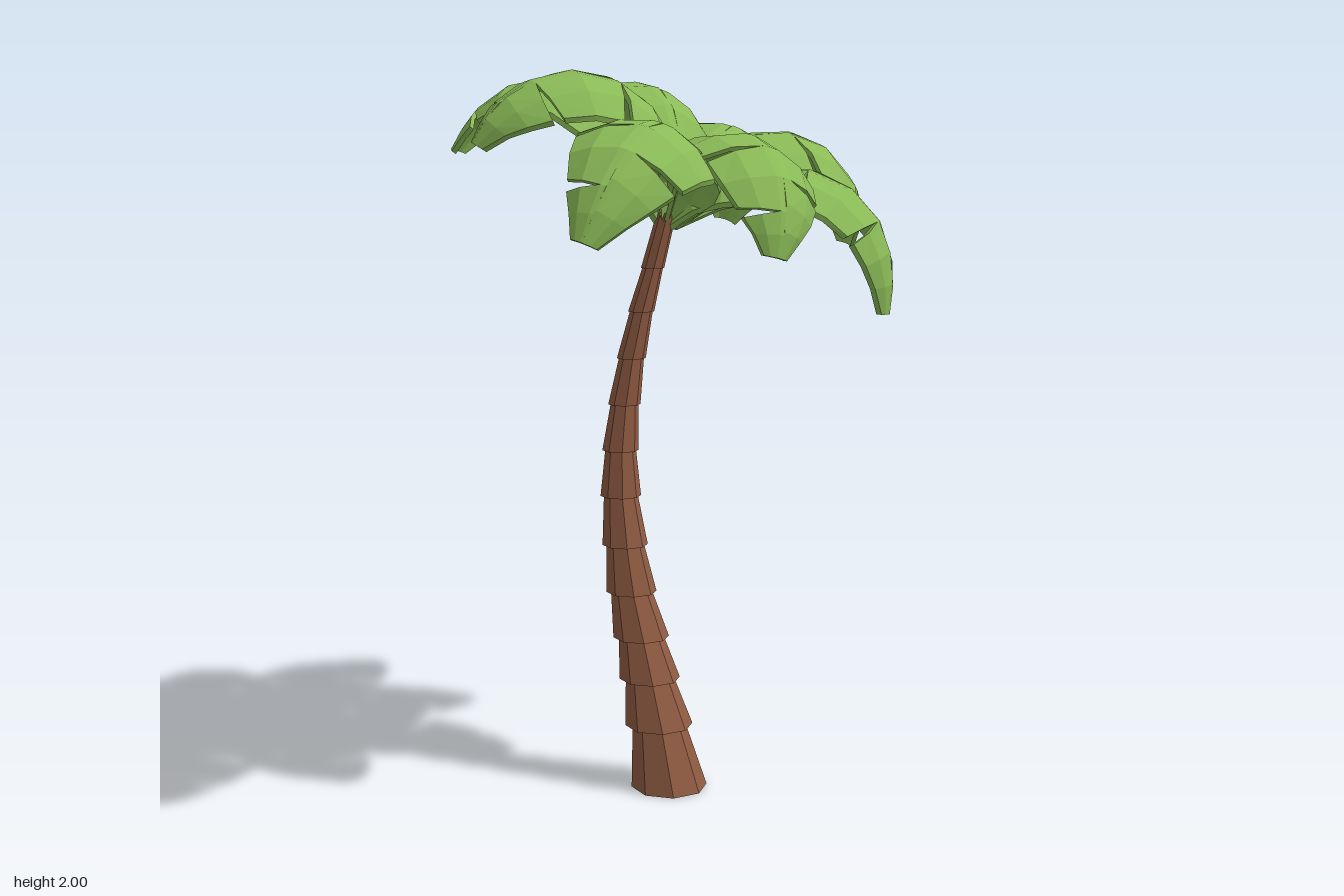
import * as THREE from 'three';
import { mergeGeometries } from 'three/addons/utils/BufferGeometryUtils.js';

const bark = new THREE.MeshStandardMaterial({ color: 0x8f5b42, flatShading: true });
const leaf = new THREE.MeshStandardMaterial({ color: 0x8aba57, flatShading: true });

// Trunk rings: centre x, height, radius
const rings = [
  [0.01, 0, 0.108], [-0.02, 0.18, 0.096], [-0.047, 0.315, 0.086], [-0.072, 0.435, 0.079],
  [-0.1, 0.565, 0.071], [-0.118, 0.7, 0.064], [-0.13, 0.84, 0.057], [-0.13, 0.97, 0.051],
  [-0.118, 1.1, 0.045], [-0.097, 1.23, 0.04], [-0.068, 1.36, 0.036], [-0.035, 1.48, 0.032],
  [0.005, 1.63, 0.03],
];

// One sheared, upward-tapering collar between two neighbouring rings
function trunkSegment(i) {
  const [x0, y0, r0] = rings[i], [x1, y1, r1] = rings[i + 1];
  const g = new THREE.CylinderGeometry(r1 * (0.79 + 0.01 * i), r0, y1 - y0, 8);
  g.rotateY(Math.PI / 8);
  g.translate(0, (y0 + y1) / 2, 0.01 + 0.0008 * i);
  const p = g.attributes.position;
  for (let k = 0; k < p.count; k++) {
    const s = (p.getY(k) - y0) / (y1 - y0);
    p.setX(k, p.getX(k) + x0 + (x1 - x0) * s);
  }
  return new THREE.Mesh(g, bark);
}

// Frond midribs (outwards along z), half width at each rib point
const makeRib = (pts) => new THREE.CatmullRomCurve3(pts.map(([z, y]) => new THREE.Vector3(0, y, z)));
const lowRib = makeRib([[0, 0], [0.06, 0.12], [0.18, 0.215], [0.32, 0.268], [0.45, 0.255], [0.555, 0.19], [0.62, 0.09], [0.65, -0.015]]);
const highRib = makeRib([[0, 0], [0.03, 0.16], [0.13, 0.27], [0.27, 0.325], [0.4, 0.315], [0.51, 0.25], [0.575, 0.165], [0.6, 0.075]]);
const halfWidths = [0.025, 0.125, 0.174, 0.184, 0.172, 0.145, 0.1, 0.035];
const ACROSS = [0, 0.14, 0.6, 1];
const THICK = 0.014;

function halfWidth(t) {
  const f = Math.min(t * 7, 6.999), i = Math.floor(f);
  return THREE.MathUtils.lerp(halfWidths[i], halfWidths[i + 1], f - i);
}

// Point on the arched blade: t along the rib, u across (-1..1), h through the thickness
function bladePoint(rib, t, u, h) {
  const p = rib.getPoint(t), d = rib.getTangent(t), w = halfWidth(t);
  const n = new THREE.Vector3(0, d.z, -d.y);
  p.x = u * w;
  return p.addScaledVector(n, h * THICK - 0.44 * w * u * u);
}

// Leaflet between two slits on one side; slits open towards the outer edge
function leaflet(rib, side, t0, t1, gap) {
  const rows = Math.max(2, Math.round((t1 - t0) * 9));
  const g = new THREE.BoxGeometry(1, 1, 1, 3, 1, rows);
  const p = g.attributes.position;
  for (let k = 0; k < p.count; k++) {
    const column = Math.round((p.getX(k) + 0.5) * 3);
    const a = ACROSS[side > 0 ? column : 3 - column];
    const start = t0 + gap * Math.max(0, a - 0.14) / 0.86;
    const t = THREE.MathUtils.lerp(start, t1, p.getZ(k) + 0.5);
    const q = bladePoint(rib, t, a * side, p.getY(k) - 0.5);
    p.setXYZ(k, q.x, q.y, q.z);
  }
  return g;
}

// Slits are staggered between the two sides
function frondGeometry(rib, mirror) {
  const parts = [];
  [[0, 0.43, 0.69, 1], [0, 0.56, 0.82, 1]].forEach((cuts, s) => {
    const side = (s === 0 ? 1 : -1) * mirror;
    for (let i = 0; i < 3; i++) parts.push(leaflet(rib, side, cuts[i], cuts[i + 1], i ? 0.04 : 0));
  });
  return mergeGeometries(parts);
}

// Rib, slit side and size of each frond, every 45 degrees from +z
const fronds = [
  [lowRib, 1, 1.09], [highRib, 1, 0.94], [lowRib, -1, 1.01], [highRib, -1, 1.02],
  [lowRib, 1, 1.09], [highRib, -1, 0.97], [lowRib, -1, 1.01], [highRib, 1, 1.03],
];

export function createModel() {
  const model = new THREE.Group();
  model.name = 'palmTree';

  const trunk = new THREE.Group();
  trunk.name = 'trunk';
  for (let i = 0; i < rings.length - 1; i++) {
    const m = trunkSegment(i);
    m.name = 'trunkSegment' + (i + 1);
    trunk.add(m);
  }
  model.add(trunk);

  // Crown leans towards +x
  const crown = new THREE.Group();
  crown.name = 'crown';
  crown.position.set(0, 1.6, 0);
  crown.rotation.z = -0.337;
  fronds.forEach(([rib, mirror, size], i) => {
    const g = frondGeometry(rib, mirror);
    g.scale(1, 0.5 + size / 2, size);
    g.rotateY((i * Math.PI) / 4);
    g.computeVertexNormals();
    const m = new THREE.Mesh(g, leaf);
    m.name = 'frond' + (i + 1);
    crown.add(m);
  });
  model.add(crown);
  return model;
}
